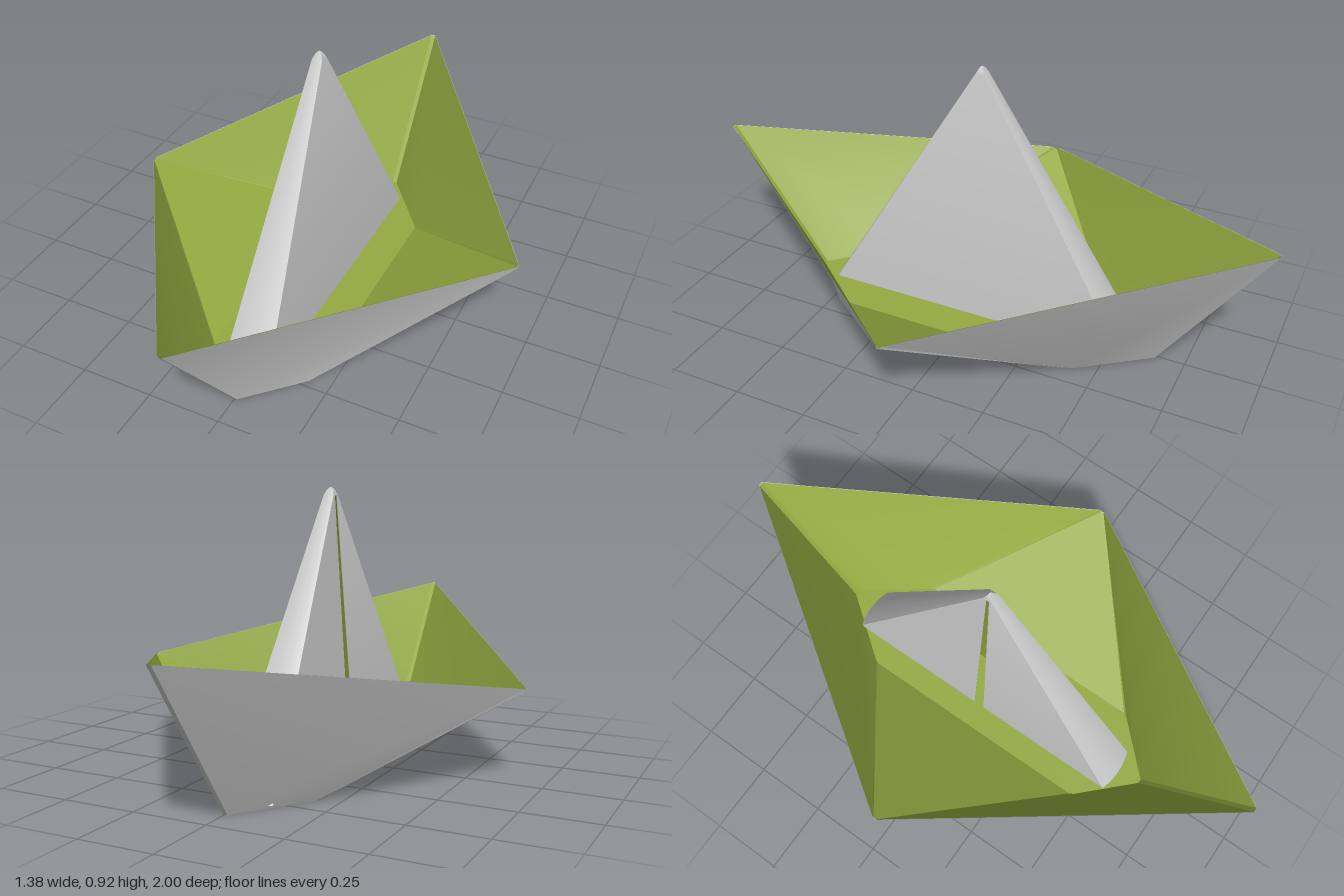
import * as THREE from 'three';
import { toCreasedNormals } from 'three/addons/utils/BufferGeometryUtils.js';

const grey = new THREE.MeshStandardMaterial({ color: 0xcccccc, side: THREE.DoubleSide });
const olive = new THREE.MeshStandardMaterial({ color: 0x96aa41, side: THREE.DoubleSide });

// Triangles between a lower and an upper loop, both anticlockwise from above
function walls(lower, upper, closed) {
  const tris = [];
  const n = lower.length;
  for (let i = 0; i < (closed ? n : n - 1); i++) {
    const j = (i + 1) % n;
    tris.push([lower[i], lower[j], upper[j]], [lower[i], upper[j], upper[i]]);
  }
  return tris;
}

function sheet(name, tris, material) {
  const geometry = new THREE.BufferGeometry();
  geometry.setAttribute('position', new THREE.Float32BufferAttribute(tris.flat(2), 3));
  const mesh = new THREE.Mesh(toCreasedNormals(geometry, 0.42), material);
  mesh.name = name;
  return mesh;
}

// Folded paper: grey outside, and an olive lining set just inside it
function paper(name, tris, inset) {
  const group = new THREE.Group();
  group.name = name;
  const lining = tris.map(([a, b, c]) => [a, c, b].map(inset));
  group.add(sheet(name + 'Outside', tris, grey), sheet(name + 'Inside', lining, olive));
  return group;
}

// Hull: pointed at both ends, with narrow bevels along the folds
function createHull() {
  // rim x, y, z, then floor x, z; from bow to stern
  const half = [
    [0.008, 0.5, 1, 0.008, 0.645],
    [0.687, 0.312, 0.012, 0.177, 0.475],
    [0.69, 0.303, 0.005, 0.185, 0.46],
    [0.69, 0.303, -0.005, 0.185, -0.41],
    [0.687, 0.312, -0.012, 0.177, -0.425],
    [0.008, 0.5, -1, 0.008, -0.65],
  ];
  const mirrored = half.map(([x, y, z, fx, fz]) => [-x, y, z, -fx, fz]).reverse();
  const loop = [...half, ...mirrored];
  const rim = loop.map(([x, y, z]) => [x, y, z]);
  const floor = loop.map((p) => [p[3], 0, p[4]]);
  const tris = walls(floor, rim, true);
  floor.forEach((p, i) => tris.push([[0, 0, 0], floor[(i + 1) % floor.length], p]));
  return paper('hull', tris, ([x, y, z]) => [x * 0.997, y * 0.997 + 0.001, z * 0.997]);
}

// Sail: tall hollow wedge with rounded ends and an open seam on one side
function createSail() {
  const middle = -0.0175;
  const base = [[-0.1, 0.01, 0.02]];
  const top = [[-0.035, 0.895, 0.005]];
  const steps = 8;
  for (const side of [1, -1]) {
    for (let i = 0; i <= steps; i++) {
      const u = side * (-1 + (2 * i) / steps);
      const drop = 0.025 * u * u;
      base.push([middle + 0.0825 * u, 0.01, side * (0.562 - 0.014 * u * u)]);
      top.push([middle + 0.0175 * u, 0.92 - drop, side * (0.003 + 0.55 * drop)]);
    }
  }
  base.push([-0.1, 0.01, -0.02]);
  top.push([-0.035, 0.895, -0.005]);
  const tris = walls(base, top, false);
  // narrow cap along the peak
  for (let i = 1; i <= steps; i++) {
    const [a, b] = [top[i], top[i + 1]];
    const [c, d] = [b, a].map(([x, y, z]) => [x, y, -z]);
    tris.push([a, b, c], [a, c, d]);
  }
  return paper('sail', tris, ([x, y, z]) => [middle + (x - middle) * 0.985, y * 0.995, z * 0.995]);
}

export function createModel() {
  const model = new THREE.Group();
  model.name = 'paperBoat';
  model.add(createHull(), createSail());
  return model;
}
